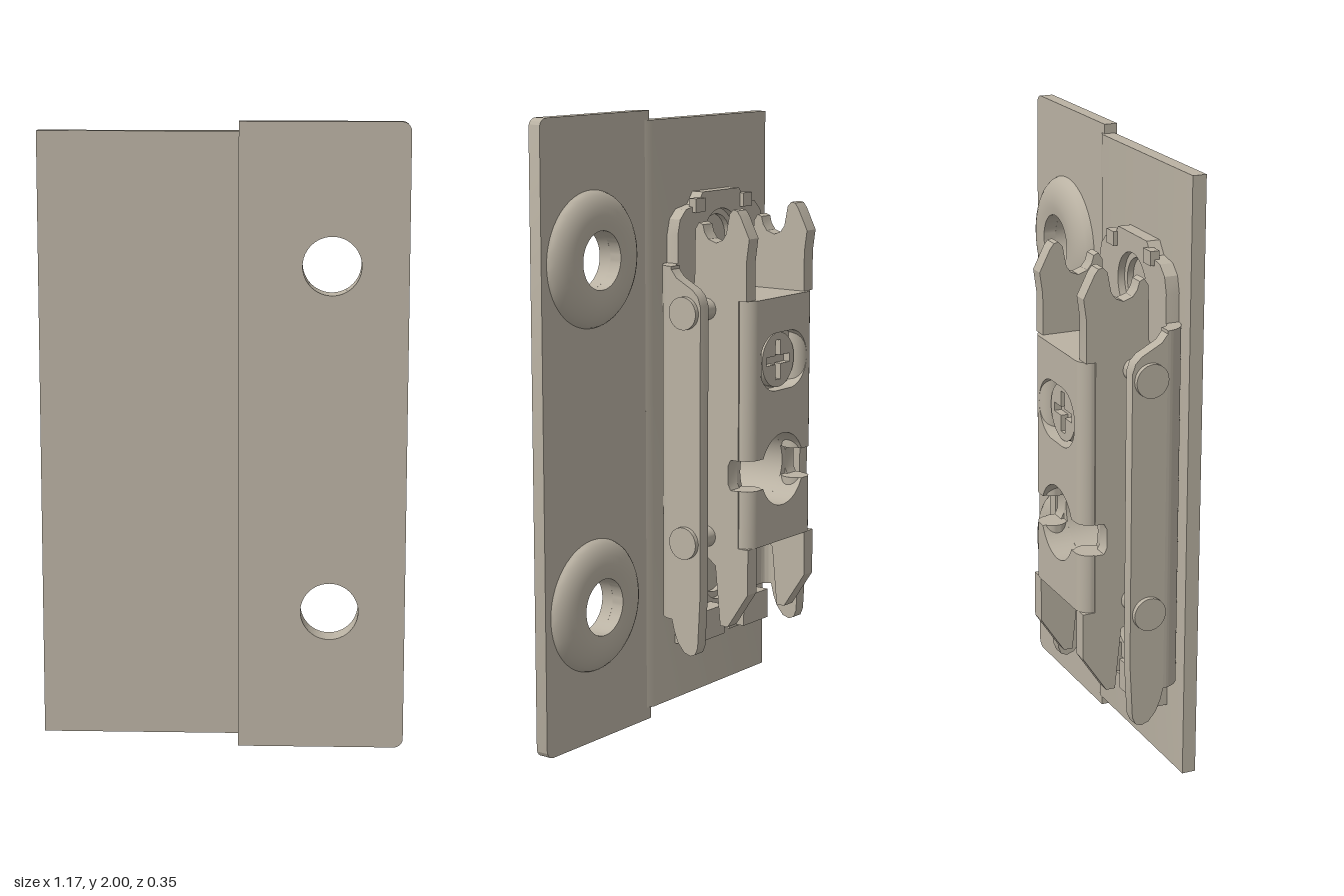
import * as THREE from 'three';
import { toCreasedNormals } from 'three/addons/utils/BufferGeometryUtils.js';

const material = new THREE.MeshStandardMaterial({ color: 0xbab2a3 });

function add(parent, name, geo, x = 0, y = 0, z = 0) {
  const mesh = new THREE.Mesh(toCreasedNormals(geo, 0.5), material);
  mesh.name = name;
  mesh.position.set(x, y, z);
  parent.add(mesh);
  return mesh;
}
const poly = (pts) => new THREE.Shape(pts.map(([a, b]) => new THREE.Vector2(a, b)));
const circle = (x, y, r) => new THREE.Path().absarc(x, y, r, 0, Math.PI * 2);
const extrude = (shape, depth) =>
  new THREE.ExtrudeGeometry(shape, { depth, bevelEnabled: false, curveSegments: 24 });
// Profile of [z, y] points extruded along +x
const alongX = (pts, depth) => extrude(poly(pts.map(([z, y]) => [-z, y])), depth).rotateY(Math.PI / 2);
// Profile in (x, -z) extruded along +y
const alongY = (shape, depth) => extrude(shape, depth).rotateX(-Math.PI / 2);
const box = (w, h, d) => new THREE.BoxGeometry(w, h, d);
const rodX = (r, len) => new THREE.CylinderGeometry(r, r, len, 32).rotateZ(Math.PI / 2);

function stadium(cx, cy, halfW, r) {
  const s = new THREE.Shape();
  s.absarc(cx + halfW - r, cy, r, -Math.PI / 2, Math.PI / 2);
  s.absarc(cx - halfW + r, cy, r, Math.PI / 2, Math.PI * 1.5);
  return s.closePath();
}

function leaves(g) {
  // Plain leaf with a sloped step along its joint
  const leaf = poly([[-0.575, -0.12], [0.045, -0.12], [0.072, -0.13], [0.072, -0.165], [-0.575, -0.165]]);
  add(g, 'plainLeaf', alongY(leaf, 1.93), 0, 0.04);

  // Drilled leaf with rounded outer corners
  const s = new THREE.Shape();
  s.moveTo(0.05, 0).lineTo(0.55, 0).absarc(0.55, 0.03, 0.03, -Math.PI / 2, 0);
  s.absarc(0.55, 1.97, 0.03, 0, Math.PI / 2).lineTo(0.05, 2).closePath();
  for (const y of [0.45, 1.555]) s.holes.push(circle(0.34, y, 0.092));
  add(g, 'drilledLeaf', extrude(s, 0.043), 0, 0, 0.13);

  // Domed collars around the holes
  const dome = [[0.215, 0], [0.211, 0.01], [0.2, 0.022], [0.185, 0.032], [0.165, 0.04],
    [0.14, 0.045], [0.115, 0.045], [0.092, 0.042], [0.092, 0]].map((p) => new THREE.Vector2(...p));
  for (const y of [0.45, 1.555])
    add(g, 'collar', new THREE.LatheGeometry(dome, 64).rotateX(-Math.PI / 2), 0.34, y, 0.13);
}

function bracket(g) {
  // Base plate with two screw holes
  const half = [[0.055, 0.3], [0.055, 0.23], [0.195, 0.23], [0.195, 0.35], [0.235, 0.35],
    [0.235, 1.6], [0.222, 1.65], [0.19, 1.68], [0.13, 1.69], [0.1, 1.73]];
  const base = poly([...half, ...half.map(([x, y]) => [-x, y]).reverse()]);
  for (const y of [0.45, 1.57]) base.holes.push(circle(0, y, 0.1));
  add(g, 'bracketBase', extrude(base, 0.045), 0, 0, 0.077);
  for (const y of [0.45, 1.57]) {
    const ring = new THREE.Shape().absarc(0, y, 0.105, 0, Math.PI * 2);
    ring.holes.push(circle(0, y, 0.08));
    add(g, 'screwSeat', extrude(ring, 0.02), 0, 0, 0.1);
  }

  const wall = [[0.05, 1.5], [0.03, 1.475], [-0.035, 1.44], [-0.055, 1.42], [-0.065, 1.39],
    [-0.065, 0.45], [-0.055, 0.27], [-0.045, 0.245], [-0.025, 0.237], [0, 0.245],
    [0.025, 0.275], [0.04, 0.31], [0.05, 0.35]];
  for (const s of [-1, 1]) {
    add(g, 'bracketWall', alongX(wall, 0.043), s > 0 ? 0.262 : -0.305);
    // Quarter-round bend between base and wall
    const bend = new THREE.Shape();
    const end = s > 0 ? 0 : -Math.PI;
    bend.absarc(s * 0.235, -0.05, 0.07, -Math.PI / 2, end, s < 0);
    bend.absarc(s * 0.235, -0.05, 0.027, end, -Math.PI / 2, s > 0);
    add(g, 'bracketBend', alongY(bend.closePath(), 1.16), 0, 0.35);
    // Bottom blocks and top nubs
    add(g, 'bottomBlock', box(0.14, 0.1, 0.07), s * 0.125, 0.3, 0.053);
    add(g, 'topNub', box(0.05, 0.045, 0.03), s * 0.13, 1.69, 0.078);
    // Riveted pins
    for (const y of [0.615, 1.365]) {
      add(g, 'pin', rodX(0.035, 0.125), s * 0.243, y, -0.005);
      add(g, 'pinHead', rodX(0.053, 0.018), s * 0.312, y, -0.005);
    }
  }
}

function carrier(g) {
  const W = 0.1375, boreY = 0.83, R = 0.12, notch = 0.05;
  const a = Math.asin(notch / R);

  // Back web above the cross notch, with the screw slot
  const upper = new THREE.Shape();
  upper.moveTo(W, boreY + notch).lineTo(W, 1.4).lineTo(-W, 1.4).lineTo(-W, boreY + notch);
  upper.absarc(0, boreY, R, Math.PI - a, a, true).closePath();
  upper.holes.push(stadium(0, 1.19, 0.134, 0.095));
  add(g, 'upperWeb', extrude(upper, 0.085), 0, 0, -0.175);

  // Back web below the cross notch
  const lower = new THREE.Shape();
  lower.moveTo(-W, boreY - notch).lineTo(-W, 0.59).lineTo(W, 0.59).lineTo(W, boreY - notch);
  lower.absarc(0, boreY, R, -a, -Math.PI + a, true).closePath();
  add(g, 'lowerWeb', extrude(lower, 0.085), 0, 0, -0.175);

  // Notch floor and bore sleeve
  const floor = poly([[-W, 0.7], [W, 0.7], [W, 0.96], [-W, 0.96]]);
  floor.holes.push(circle(0, boreY, R));
  add(g, 'boreSleeve', extrude(floor, 0.168), 0, 0, -0.09);

  // End walls
  add(g, 'topWall', box(2 * W, 0.04, 0.235), 0, 1.38, -0.0575);
  add(g, 'bottomWall', box(2 * W, 0.04, 0.235), 0, 0.61, -0.0575);

  // Slot floor and screw head with a cross recess
  add(g, 'slotFloor', extrude(stadium(0, 1.19, 0.136, 0.097), 0.04), 0, 0, -0.13);
  const head = new THREE.Shape().absarc(0, 0, 0.09, 0, Math.PI * 2);
  const l = 0.065, w = 0.014;
  head.holes.push(poly([[w, w], [l, w], [l, -w], [w, -w], [w, -l], [-w, -l],
    [-w, -w], [-l, -w], [-l, w], [-w, w], [-w, l], [w, l]]));
  add(g, 'screwHead', extrude(head, 0.025), 0, 1.19, -0.154);

  // Side walls with hooked ears above and tapered fins below
  const side = [[-0.06, 0.32], [-0.09, 0.32], [-0.17, 0.44], [-0.17, 0.59], [-0.13, 0.59],
    [-0.13, 0.78], [-0.1, 0.78], [-0.09, 0.8], [-0.09, 0.86], [-0.1, 0.88], [-0.13, 0.88],
    [-0.13, 1.4], [-0.16, 1.4], [-0.16, 1.53], [-0.17, 1.6], [-0.135, 1.67], [-0.122, 1.687],
    [-0.107, 1.69], [-0.093, 1.675], [-0.08, 1.61], [-0.065, 1.59], [-0.04, 1.58],
    [-0.01, 1.59], [0.005, 1.61], [0.012, 1.635], [0.028, 1.642], [0.042, 1.62],
    [0.045, 1.45], [0.07, 1.4], [0.07, 0.6], [-0.04, 0.52]];
  for (const s of [-1, 1]) {
    add(g, 'carrierSide', alongX(side, 0.05), s > 0 ? W : -W - 0.05);
    // Rounded back edges, interrupted by the notch
    for (const [y0, y1] of [[0.59, 0.78], [0.88, 1.4]])
      add(g, 'roundedEdge', new THREE.CylinderGeometry(0.045, 0.045, y1 - y0, 40), s * W, (y0 + y1) / 2, -0.13);
  }
}

export function createModel() {
  const model = new THREE.Group();
  model.name = 'hinge';
  leaves(model);
  for (const [name, build] of [['bracket', bracket], ['carrier', carrier]]) {
    const group = new THREE.Group();
    group.name = name;
    group.position.x = -0.265;
    build(group);
    model.add(group);
  }
  return model;
}
